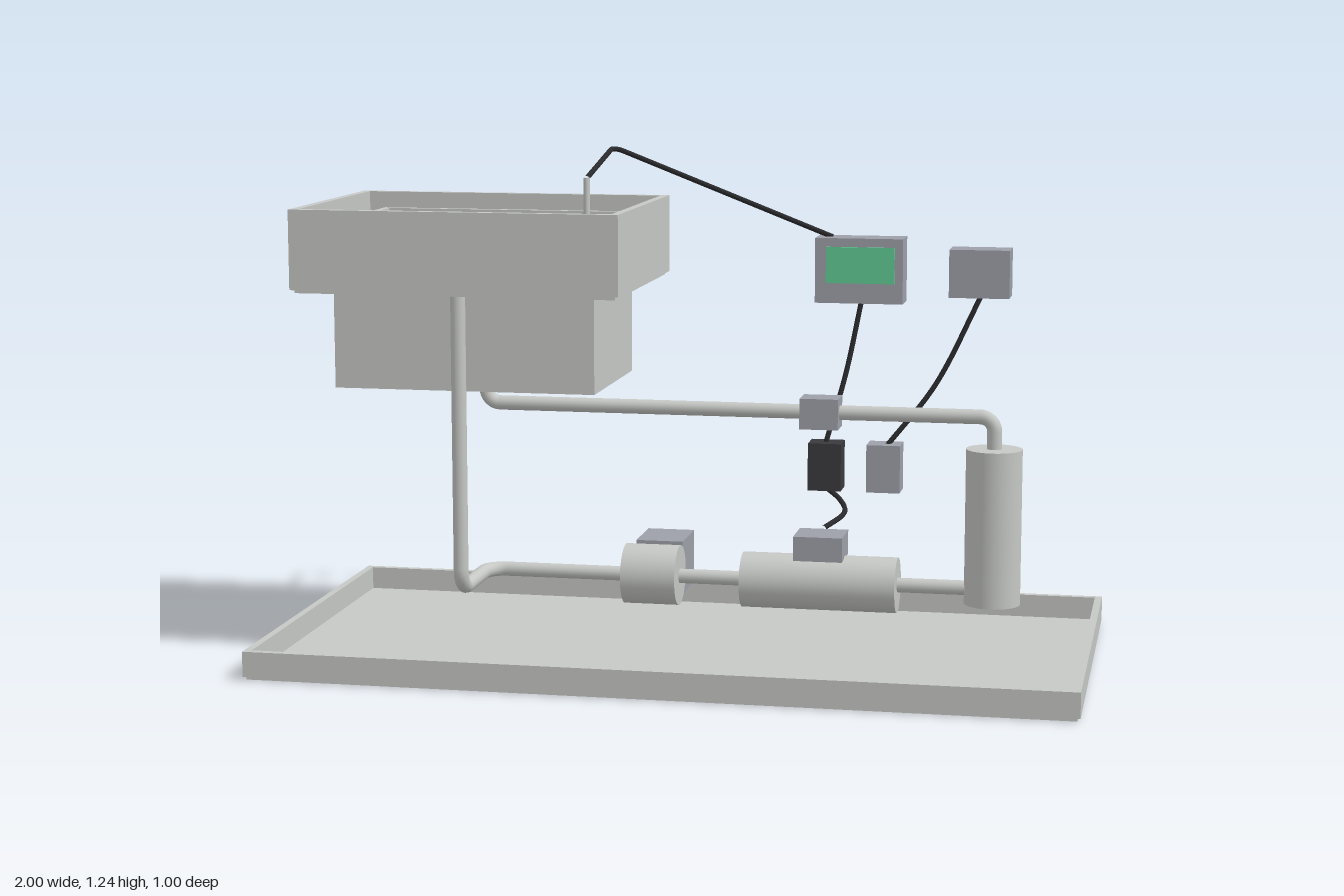
import * as THREE from 'three';

const mat = (name, color, side = THREE.FrontSide) =>
  Object.assign(new THREE.MeshStandardMaterial({ color, side }), { name });

export function createModel() {
  const model = new THREE.Group();
  model.name = 'waterLoop';
  const shell = mat('light grey', 0xc6c8c5, THREE.DoubleSide);
  const housing = mat('blue grey', 0x9da0a9);
  const black = mat('black', 0x3a3a3e);
  const rubber = mat('cable black', 0x2a2a2d);
  const water = mat('water blue', 0x6f9fd0);
  const green = mat('screen green', 0x62cc94);

  const V = (p) => new THREE.Vector3(...p);
  function add(name, geometry, material, parent = model) {
    const mesh = new THREE.Mesh(geometry, material);
    mesh.name = name;
    parent.add(mesh);
    return mesh;
  }

  // Box given by its extents on each axis
  function box(name, [x0, x1], [y0, y1], [z0, z1], material, parent) {
    const mesh = add(name, new THREE.BoxGeometry(x1 - x0, y1 - y0, z1 - z0), material, parent);
    mesh.position.set((x0 + x1) / 2, (y0 + y1) / 2, (z0 + z1) / 2);
    return mesh;
  }

  function rectangle(Type, [x0, x1], [z0, z1], inset = 0) {
    const a = x0 + inset, b = x1 - inset, c = -z1 + inset, d = -z0 - inset;
    return new Type([[a, c], [b, c], [b, d], [a, d]].map((p) => new THREE.Vector2(...p)));
  }

  function slab(shape, y0, y1) {
    const g = new THREE.ExtrudeGeometry(shape, { depth: y1 - y0, bevelEnabled: false, curveSegments: 12 });
    return g.rotateX(-Math.PI / 2).translate(0, y0, 0);
  }

  // Open container: wall ring plus a floor plate, optionally with a round drain
  function tray(name, x, y, z, wall, floorTop, inset, drain) {
    const group = new THREE.Group();
    group.name = name;
    model.add(group);
    const ring = rectangle(THREE.Shape, x, z);
    ring.holes.push(rectangle(THREE.Path, x, z, wall));
    add(name + 'Walls', slab(ring, y[0] + (inset ? 0.008 : 0), y[1]), shell, group);
    const plate = rectangle(THREE.Shape, x, z, inset || wall);
    if (drain) plate.holes.push(new THREE.Path().absarc(drain[0], -drain[1], drain[2], 0, Math.PI * 2, true));
    add(name + 'Floor', slab(plate, y[0], floorTop), shell, group);
    return group;
  }

  // Pipe through corner points, with rounded bends
  function pipe(name, points, radius, bend, material) {
    const path = new THREE.CurvePath();
    const pts = points.map(V);
    let start = pts[0];
    for (let i = 1; i < pts.length - 1; i++) {
      const p = pts[i];
      const toPrev = pts[i - 1].clone().sub(p).setLength(bend);
      const toNext = pts[i + 1].clone().sub(p).setLength(bend);
      const a = p.clone().add(toPrev), b = p.clone().add(toNext);
      path.add(new THREE.LineCurve3(start, a));
      path.add(new THREE.CubicBezierCurve3(a, a.clone().addScaledVector(toPrev, -0.55),
        b.clone().addScaledVector(toNext, -0.55), b));
      start = b;
    }
    path.add(new THREE.LineCurve3(start, pts[pts.length - 1]));
    return add(name, new THREE.TubeGeometry(path, 200, radius, 16), material);
  }

  // Loose cable following a smooth curve
  const cable = (name, points) =>
    add(name, new THREE.TubeGeometry(new THREE.CatmullRomCurve3(points.map(V)), 40, 0.0065, 8), rubber);

  function cylinder(name, radius, length, [x, y, z], alongX) {
    const g = new THREE.CylinderGeometry(radius, radius, length, 40);
    if (alongX) g.rotateZ(Math.PI / 2);
    add(name, g, shell).position.set(x, y, z);
  }

  // Base tray with its leak sensor
  tray('baseTray', [-1, 1], [0, 0.07], [-0.5, 0.5], 0.018, 0.012, 0.007);
  box('leakSensor', [0.842, 0.904], [0.012, 0.045], [0.393, 0.437], housing);

  // Overflow tray around the tank
  tray('overflowTray', [-0.903, -0.098], [0.924, 1.125], [-0.225, 0.378], 0.02, 0.94, 0.01, [-0.5, 0.328, 0.013]);

  // Tank filled with water
  tray('tank', [-0.822, -0.177], [0.686, 1.09], [-0.136, 0.288], 0.018, 0.702, 0);
  box('water', [-0.804, -0.195], [0.702, 1.08], [-0.118, 0.27], water);

  // Drain line from the overflow tray and return line to the tank
  const Z = 0.077, LOW = 0.207;
  pipe('drainPipe', [[-0.5, 0.928, 0.33], [-0.5, LOW, 0.33], [-0.5, LOW, Z], [0.76, LOW, Z]], 0.018, 0.05, shell);
  pipe('returnPipe', [[0.76, 0.54, Z], [0.76, 0.628, Z], [-0.5, 0.628, Z], [-0.5, 0.69, Z]], 0.018, 0.035, shell);

  // Pump with motor, treatment cylinder and filter
  cylinder('pump', 0.074, 0.136, [-0.079, 0.209, Z], true);
  box('pumpMotor', [-0.138, -0.02], [0.142, 0.277], [-0.152, 0.0], housing);
  cylinder('treatmentCylinder', 0.068, 0.382, [0.339, 0.206, Z], true);
  cylinder('filter', 0.068, 0.38, [0.76, 0.361, Z], false);

  // Sensors on the pipes
  box('cylinderSensor', [0.28, 0.4], [0.268, 0.328], [0.02, 0.132], housing);
  box('flowSensor', [0.291, 0.385], [0.59, 0.665], [0.039, 0.115], housing);

  // Electrical boxes
  box('relay', [0.26, 0.345], [0.375, 0.497], [-0.304, -0.232], black);
  box('powerUnit', [0.41, 0.496], [0.375, 0.497], [-0.304, -0.232], housing);
  box('controller', [0.265, 0.49], [0.85, 1.016], [-0.388, -0.3], housing);
  box('controllerScreen', [0.294, 0.469], [0.902, 0.994], [-0.3, -0.292], green);
  box('supplyBox', [0.607, 0.76], [0.87, 0.992], [-0.388, -0.3], housing);

  // Water probe and its lead
  cylinder('probe', 0.008, 0.13, [-0.27, 1.115, -0.04], false);
  pipe('probeLead', [[-0.27, 1.178, -0.04], [-0.27, 1.238, -0.345], [0.305, 1.015, -0.345]], 0.0065, 0.03, rubber);

  // Cables between the boxes
  cable('controllerCable', [[0.38, 0.855, -0.345], [0.345, 0.67, -0.318], [0.3, 0.49, -0.268]]);
  cable('supplyCable', [[0.687, 0.875, -0.345], [0.575, 0.645, -0.315], [0.457, 0.49, -0.268]]);
  cable('sensorCable', [[0.3, 0.38, -0.268], [0.345, 0.359, -0.215], [0.37, 0.343, -0.13], [0.34, 0.331, 0.03]]);

  return model;
}
